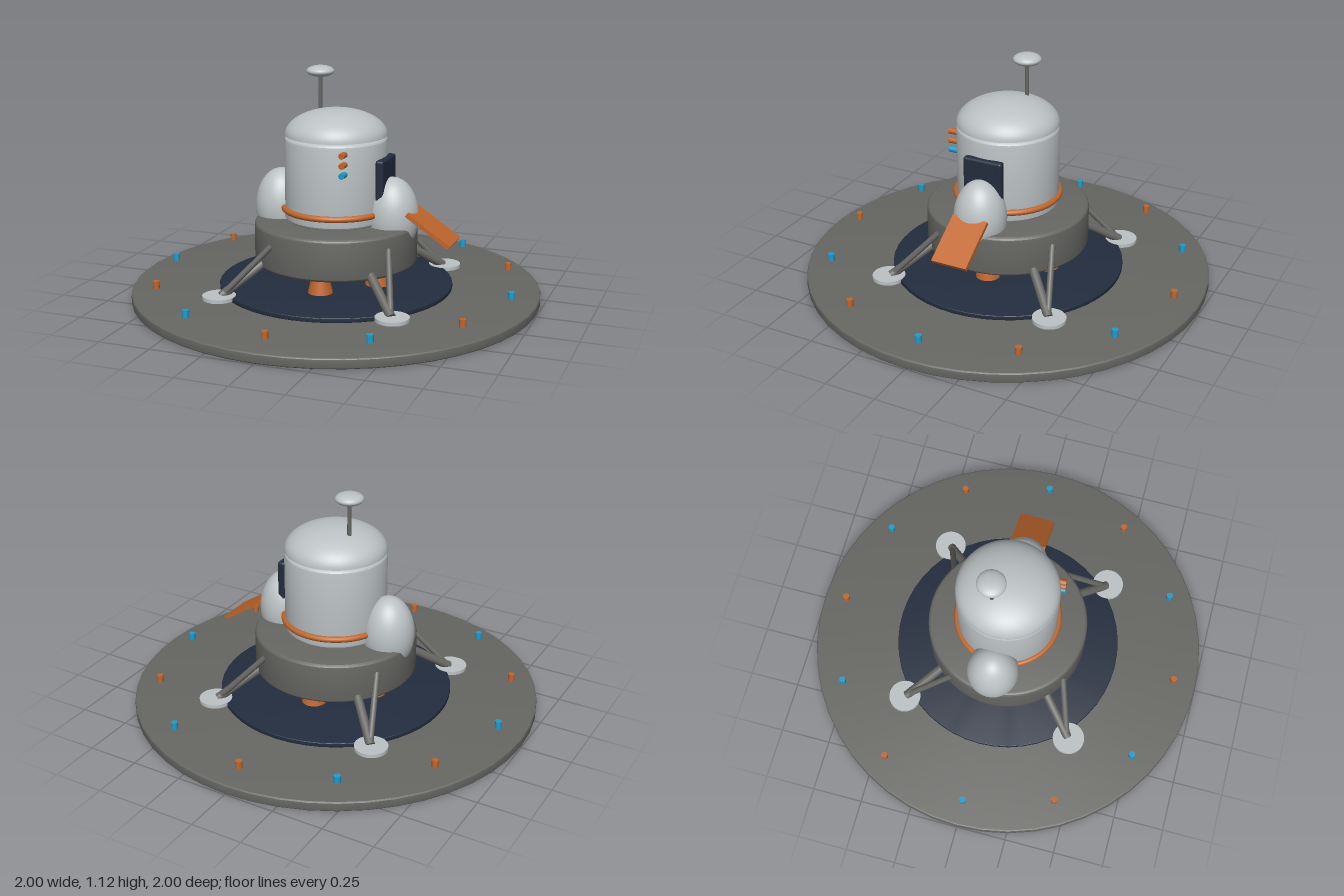
import * as THREE from 'three';
import { toCreasedNormals } from 'three/addons/utils/BufferGeometryUtils.js';
import { RoundedBoxGeometry } from 'three/addons/geometries/RoundedBoxGeometry.js';

const paint = (name, color) => {
  const m = new THREE.MeshStandardMaterial({ color });
  m.name = name;
  return m;
};

export function createModel() {
  const model = new THREE.Group();
  model.name = 'landerOnPad';
  const grey = paint('dark grey', 0x666663);
  const light = paint('light grey', 0xbcc2c4);
  const orange = paint('orange', 0xc0662c);
  const blue = paint('blue', 0x1e9ccb);
  const navy = paint('navy', 0x232d3e);

  const add = (name, geometry, material, x = 0, y = 0, z = 0) => {
    const mesh = new THREE.Mesh(geometry, material);
    mesh.name = name;
    mesh.position.set(x, y, z);
    model.add(mesh);
    return mesh;
  };

  // Upright drum between two heights with rounded rims
  const drum = (r, y0, y1, b, sides = 64) => {
    const pts = [new THREE.Vector2(0, y0)];
    for (const top of [0, 1]) {
      for (let i = 0; i <= 4; i++) {
        const a = (i / 4 - 1 + top) * Math.PI / 2;
        pts.push(new THREE.Vector2(r - b + b * Math.cos(a), (top ? y1 - b : y0 + b) + b * Math.sin(a)));
      }
    }
    pts.push(new THREE.Vector2(0, y1));
    return toCreasedNormals(new THREE.LatheGeometry(pts, sides), 0.25);
  };

  // Round strut joining two points
  const strut = (name, from, to, r) => {
    const a = new THREE.Vector3(...from), b = new THREE.Vector3(...to);
    const dir = b.clone().sub(a);
    const mesh = add(name, new THREE.CylinderGeometry(r, r, dir.length(), 16), grey);
    mesh.position.copy(a).add(b).multiplyScalar(0.5);
    mesh.quaternion.setFromUnitVectors(new THREE.Vector3(0, 1, 0), dir.normalize());
  };

  const ellipsoid = (rx, ry, rz) => new THREE.SphereGeometry(1, 40, 28).scale(rx, ry, rz);

  // Landing pad, blast plate and ring of marker lights
  add('landingPad', drum(1, 0, 0.05, 0.01, 48), grey);
  add('blastPlate', drum(0.572, 0.05, 0.073, 0.004, 48), navy);
  for (let i = 0; i < 12; i++) {
    const a = i * Math.PI / 6;
    add('markerLight', new THREE.CylinderGeometry(0.016, 0.016, 0.036, 16),
      i % 2 ? orange : blue, 0.88 * Math.cos(a), 0.092, 0.88 * Math.sin(a));
  }

  // Descent stage and cabin
  add('descentStage', drum(0.397, 0.18, 0.385, 0.02), grey);
  add('cabin', drum(0.248, 0.385, 0.8, 0.022), light);
  const band = add('cabinBand', new THREE.TorusGeometry(0.252, 0.015, 12, 64), orange, 0, 0.445, 0);
  band.rotation.x = Math.PI / 2;

  // Flattened dome with a closed underside
  const domePts = [new THREE.Vector2(0, 0)];
  for (let i = 0; i <= 16; i++) {
    const a = i / 16 * Math.PI / 2;
    domePts.push(new THREE.Vector2(i === 16 ? 0 : 0.248 * Math.cos(a), 0.126 * Math.sin(a)));
  }
  add('domeRoof', toCreasedNormals(new THREE.LatheGeometry(domePts, 64), 0.6), light, 0, 0.803, 0);

  // Antenna
  add('antennaMast', new THREE.CylinderGeometry(0.01, 0.01, 0.2, 12), grey, -0.1, 0.99, -0.05);
  add('antennaDish', ellipsoid(0.068, 0.028, 0.068), light, -0.1, 1.097, -0.05);

  // Side tanks
  for (const s of [-1, 1]) add('sideTank', ellipsoid(0.127, 0.19, 0.127), light, s * 0.288, 0.425, 0);

  // Hatch and ramp on the left side
  add('hatch', new RoundedBoxGeometry(0.04, 0.3, 0.2, 3, 0.012), navy, 0.252, 0.56, 0);
  const ramp = add('ramp', new THREE.BoxGeometry(0.255, 0.02, 0.18), orange, 0.49, 0.388, 0);
  ramp.rotation.z = -0.59;

  // Indicator lamps on the front of the cabin
  [[0.755, orange], [0.707, orange], [0.66, blue]].forEach(([y, m]) => {
    const lamp = add('indicatorLamp', new THREE.CylinderGeometry(0.015, 0.015, 0.05, 16), m, 0.12, y, 0.229);
    lamp.rotation.x = Math.PI / 2;
  });

  // Engines and legs, repeated every quarter turn
  for (let i = 0; i < 4; i++) {
    const c = Math.round(Math.cos(i * Math.PI / 2)), s = Math.round(Math.sin(i * Math.PI / 2));
    const turn = (x, y, z) => [x * c + z * s, y, z * c - x * s];
    add('engineNozzle', new THREE.CylinderGeometry(0.036, 0.06, 0.112, 24), orange, ...turn(0, 0.129, 0.215));
    add('footPad', new THREE.CylinderGeometry(0.08, 0.08, 0.018, 32), light, ...turn(-0.432, 0.067, 0.432));
    strut('mainLeg', turn(-0.425, 0.07, 0.425), turn(-0.265, 0.21, 0.265), 0.022);
    strut('braceLeg', turn(-0.42, 0.075, 0.42), turn(-0.2, 0.315, 0.335), 0.015);
  }

  return model;
}
